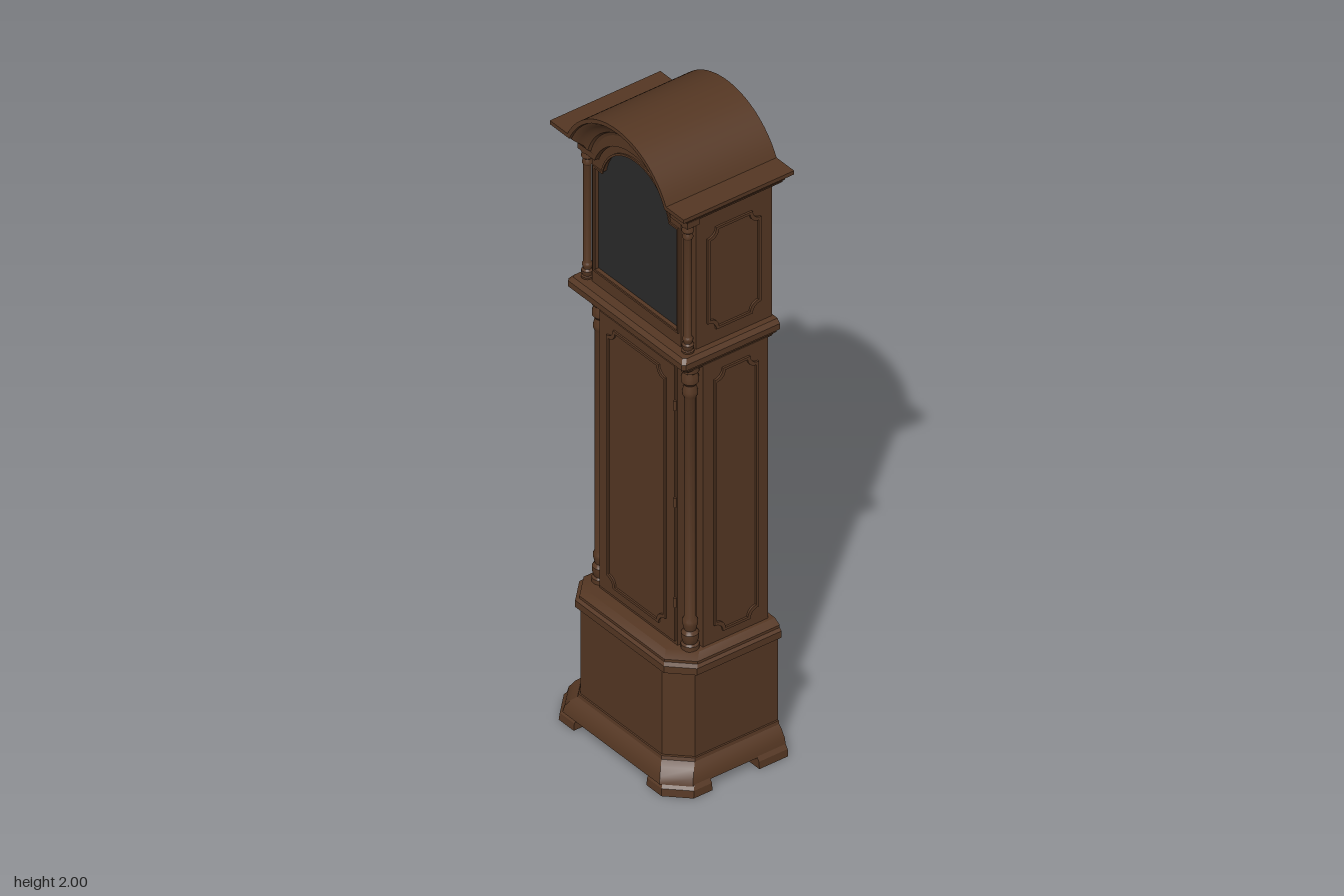
import * as THREE from 'three';
import { toCreasedNormals } from 'three/addons/utils/BufferGeometryUtils.js';

const wood = new THREE.MeshStandardMaterial({ color: 0x553723 });
wood.name = 'dark wood';
const dark = new THREE.MeshStandardMaterial({ color: 0x2a2a2a });
dark.name = 'dark glass';

// Joins closed rings of points, listed bottom to top; caps fan from the middle, or span front to back.
function loft(rings, spanCaps = false) {
  const pos = [];
  const tri = (...p) => p.forEach((v) => pos.push(...v));
  const quad = (a, b, c, d) => { tri(a, b, c); tri(a, c, d); };
  const n = rings[0].length;
  for (let j = 0; j < rings.length - 1; j++) {
    for (let i = 0; i < n; i++) {
      const k = (i + 1) % n;
      quad(rings[j][i], rings[j][k], rings[j + 1][k], rings[j + 1][i]);
    }
  }
  const lo = rings[0], hi = rings[rings.length - 1];
  const mid = (r) => [0, 1, 2].map((a) => r.reduce((s, p) => s + p[a], 0) / n);
  if (spanCaps) {
    for (let i = 0; i < n / 2 - 1; i++) {
      quad(hi[i], hi[i + 1], hi[n - 2 - i], hi[n - 1 - i]);
      quad(lo[n - 1 - i], lo[n - 2 - i], lo[i + 1], lo[i]);
    }
  } else {
    for (let i = 0; i < n; i++) {
      const k = (i + 1) % n;
      tri(mid(hi), hi[i], hi[k]);
      tri(mid(lo), lo[k], lo[i]);
    }
  }
  const g = new THREE.BufferGeometry();
  g.setAttribute('position', new THREE.Float32BufferAttribute(pos, 3));
  return toCreasedNormals(g, 0.45);
}

// Case section with chamfered front corners, grown outwards by o
const footprint = (w, zf, zb, c) => (y, o) => [
  [-w - o, y, zb], [-w - o, y, zf + o - c], [-w - o + c, y, zf + o],
  [w + o - c, y, zf + o], [w + o, y, zf + o - c], [w + o, y, zb],
];
const stack = (section, levels) => loft(levels.map(([y, o]) => section(y, o)));

// Panel outline with scooped corners
function scooped(w, h, r) {
  const s = new THREE.Shape();
  const q = Math.PI / 2;
  s.moveTo(-w + r, -h);
  s.lineTo(w - r, -h);
  s.absarc(w, -h, r, 2 * q, q, true);
  s.lineTo(w, h - r);
  s.absarc(w, h, r, -q, -2 * q, true);
  s.lineTo(-w + r, h);
  s.absarc(-w, h, r, 0, -q, true);
  s.lineTo(-w, -h + r);
  s.absarc(-w, -h, r, q, 0, true);
  return s;
}
function extrude(shape, depth) {
  return new THREE.ExtrudeGeometry(shape, { depth, bevelEnabled: false, curveSegments: 16 });
}
function panelFrame(w, h) {
  const s = scooped(w, h, 0.028);
  s.holes.push(scooped(w - 0.008, h - 0.008, 0.028));
  return extrude(s, 0.006);
}

// Outline of the hood door: square shoulders and a round head
function doorShape(w, bottom, shoulder, r) {
  const cy = 1.725, a = Math.asin((shoulder - cy) / r);
  const s = new THREE.Shape();
  s.moveTo(-w, bottom);
  s.lineTo(w, bottom);
  s.lineTo(w, shoulder);
  s.absarc(0, cy, r, a, Math.PI - a, false);
  s.lineTo(-w, shoulder);
  s.closePath();
  return s;
}

// Arched line of the cornice, lowered by d and ending at +-w
function archLine(d, w) {
  const r = 0.235 - d, h = 0.105 - d, a = Math.asin(h / r), pts = [[-w, 1.765 + h]];
  for (let i = 0; i <= 36; i++) {
    const t = Math.PI - a - (i / 36) * (Math.PI - 2 * a);
    pts.push([r * Math.cos(t), 1.765 + r * Math.sin(t)]);
  }
  pts.push([w, 1.765 + h]);
  return pts;
}

// Turned column: plain shaft with ringed base and capital
function column(r, y0, y1, e) {
  const half = [[0, 0], [1.3, 0], [1.3, 0.15], [1.0, 0.2], [1.25, 0.35], [1.25, 0.5],
    [0.85, 0.6], [1.1, 0.8], [1.1, 0.9], [0.85, 1]];
  const low = half.map(([x, t]) => new THREE.Vector2(x * r, y0 + t * e));
  const high = half.map(([x, t]) => new THREE.Vector2(x * r, y1 - t * e)).reverse();
  return toCreasedNormals(new THREE.LatheGeometry([...low, ...high], 20), 0.6);
}

export function createModel() {
  const model = new THREE.Group();
  model.name = 'longcaseClock';
  const add = (name, geo, x = 0, y = 0, z = 0, mat = wood) => {
    const m = new THREE.Mesh(geo, mat);
    m.name = name;
    m.position.set(x, y, z);
    model.add(m);
    return m;
  };
  const sides = [1, -1];

  // Base with flared skirt
  const base = footprint(0.235, 0.155, -0.18, 0.062);
  add('base', stack(base, [[0.085, 0], [0.365, 0]]));
  add('skirt', stack(base, [[0.03, 0.034], [0.05, 0.03], [0.07, 0.018], [0.082, 0.006], [0.092, 0.004], [0.093, 0]]));

  // Bracket feet
  for (const s of sides) {
    const ring = (pts, y, o) => {
      const r = pts.map(([x, z, k]) => [s * (x + o * k), y, z + (z > 0.1 ? o : 0)]);
      return s > 0 ? r : r.reverse();
    };
    const front = [[0.155, 0.185, 0], [0.212, 0.185, 1], [0.272, 0.125, 1], [0.272, 0.07, 1], [0.155, 0.07, 0]];
    const back = [[0.155, -0.085, 0], [0.272, -0.085, 1], [0.272, -0.18, 1], [0.155, -0.18, 0]];
    for (const [name, pts] of [['frontFoot', front], ['backFoot', back]]) {
      add(name, loft([ring(pts, 0, 0.007), ring(pts, 0.022, 0.005), ring(pts, 0.034, -0.004)]));
    }
  }

  // Mouldings below and above the waist
  add('lowerMoulding', stack(footprint(0.235, 0.145, -0.18, 0.062),
    [[0.358, 0], [0.364, 0.016], [0.385, 0.016], [0.392, 0.008], [0.4, 0.008], [0.412, -0.012]]));
  add('upperMoulding', stack(footprint(0.215, 0.108, -0.175, 0.008),
    [[1.312, 0], [1.325, 0.008], [1.335, 0.02], [1.345, 0.022], [1.352, 0.035], [1.37, 0.035], [1.382, 0.025]]));

  // Waist with notched front corners
  const w = 0.213, n = 0.047, zf = 0.098, zb = -0.165;
  const waist = (y) => [[-w, y, zb], [-w, y, zf - n], [-w + n, y, zf - n], [-w + n, y, zf],
    [w - n, y, zf], [w - n, y, zf - n], [w, y, zf - n], [w, y, zb]];
  add('waist', loft([waist(0.4), waist(1.32)]));
  add('waistDoor', new THREE.BoxGeometry(0.318, 0.88, 0.006), 0, 0.863, 0.1);
  add('waistDoorPanel', panelFrame(0.125, 0.413), 0, 0.863, 0.102);
  for (const y of [0.55, 0.87, 1.18]) {
    add('doorHinge', new THREE.CylinderGeometry(0.004, 0.004, 0.03, 10), 0.163, y, 0.104);
  }
  for (const s of sides) {
    add('waistColumn', column(0.019, 0.41, 1.313, 0.1), s * 0.19, 0, 0.075);
    const p = add('waistSidePanel', panelFrame(0.073, 0.42), s * w, 0.86, -0.057);
    p.rotation.y = s * Math.PI / 2;
  }

  // Hood case and frieze, both under the arched line
  const toShape = (pts) => new THREE.Shape(pts.map(([x, y]) => new THREE.Vector2(x, y)));
  add('hoodCase', extrude(toShape([[0.222, 1.38], ...archLine(0.063, 0.222).reverse(), [-0.222, 1.38]]), 0.25), 0, 0, -0.17);
  const frieze = toShape([...archLine(0.063, 0.234), [0.234, 1.788], [0.162, 1.788]]);
  const fa = Math.asin(0.063 / 0.174);
  frieze.absarc(0, 1.725, 0.174, fa, Math.PI - fa, false);
  frieze.lineTo(-0.234, 1.788);
  add('hoodFrieze', extrude(frieze, 0.04), 0, 0, 0.078);

  // Glazed hood door
  const door = doorShape(0.19, 1.382, 1.785, 0.172);
  door.holes.push(doorShape(0.178, 1.425, 1.755, 0.147));
  add('hoodDoorFrame', extrude(door, 0.026), 0, 0, 0.079);
  const bead = doorShape(0.181, 1.422, 1.758, 0.15);
  bead.holes.push(doorShape(0.175, 1.428, 1.752, 0.144));
  add('glassBead', extrude(bead, 0.004), 0, 0, 0.105);
  add('glass', extrude(doorShape(0.179, 1.424, 1.756, 0.148), 0.006), 0, 0, 0.086, dark);

  for (const s of sides) {
    add('hoodColumn', column(0.013, 1.38, 1.792, 0.05), s * 0.214, 0, 0.101);
    const p = add('hoodSidePanel', panelFrame(0.088, 0.163), s * 0.222, 1.585, -0.043);
    p.rotation.y = s * Math.PI / 2;
  }
  for (const y of [1.49, 1.69]) {
    add('backHinge', new THREE.BoxGeometry(0.01, 0.045, 0.01), -0.18, y, -0.172);
  }

  // Arched cornice and roof: each row is drop, half width, front z
  const rows = [[0.065, 0.234, 0.118], [0.056, 0.238, 0.122], [0.052, 0.244, 0.13], [0.04, 0.25, 0.136],
    [0.03, 0.26, 0.148], [0.02, 0.272, 0.16], [0.014, 0.276, 0.163], [0.012, 0.285, 0.17], [0, 0.285, 0.17]];
  add('archedCornice', loft(rows.map(([d, hw, f]) => {
    const line = archLine(d, hw);
    return [...line.map(([x, y]) => [x, y, f]), ...line.reverse().map(([x, y]) => [x, y, -0.195])];
  }), true));

  return model;
}
